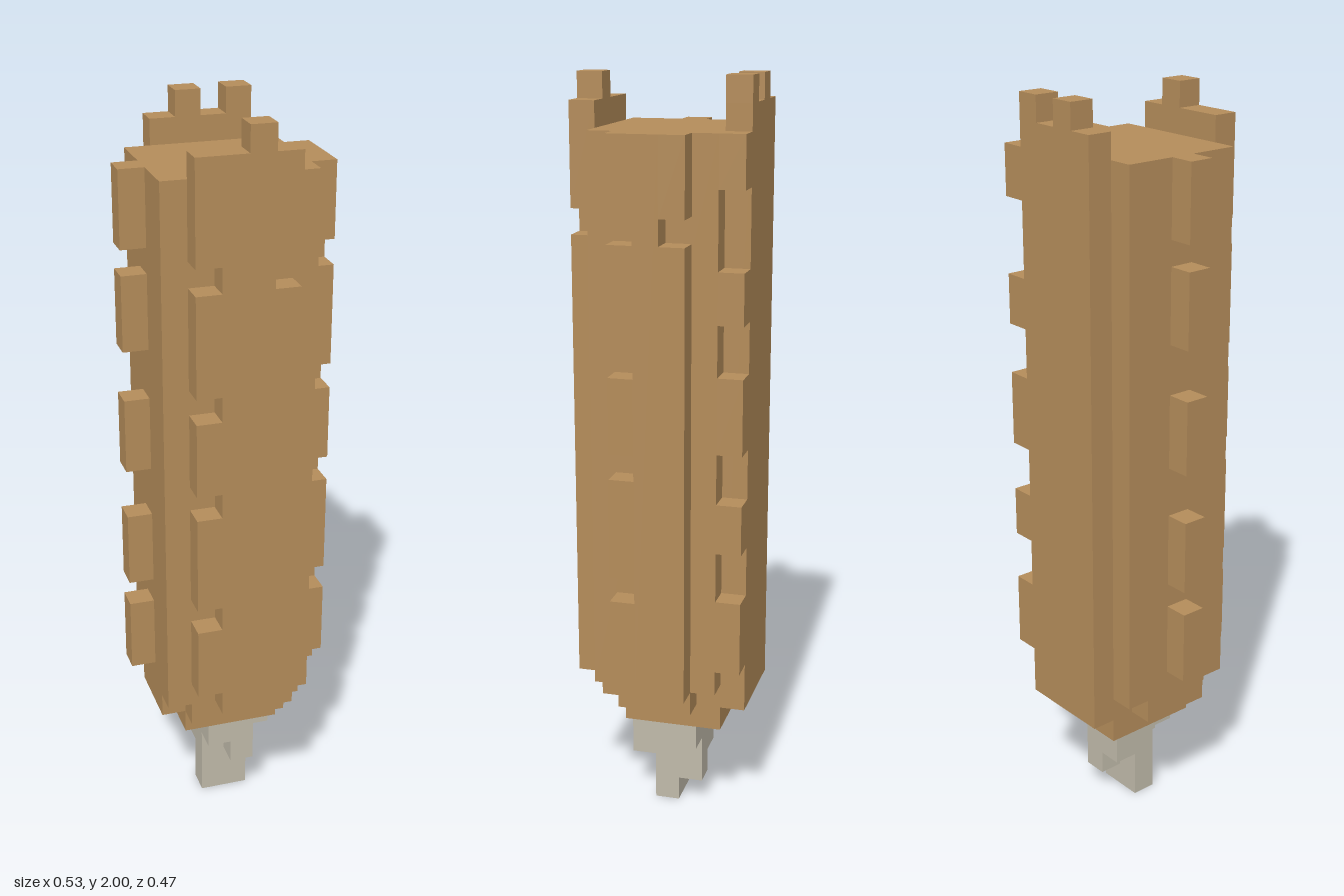
import * as THREE from 'three';

const U = 1 / 15; // one block of the grid

export function createModel() {
  const model = new THREE.Group();
  const brown = new THREE.MeshStandardMaterial({ color: 0xb48c5a });
  brown.name = 'brown';
  const grey = new THREE.MeshStandardMaterial({ color: 0xc0baaa });
  grey.name = 'pale grey';

  // Named group of blocks, each given as [x0, x1, y0, y1, z0, z1] in grid units
  function part(name, material, blocks) {
    const group = new THREE.Group();
    group.name = name;
    blocks.forEach(([x0, x1, y0, y1, z0, z1], i) => {
      const geo = new THREE.BoxGeometry((x1 - x0) * U, (y1 - y0) * U, (z1 - z0) * U);
      const mesh = new THREE.Mesh(geo, material);
      mesh.name = `${name}Block${i + 1}`;
      mesh.position.set((x0 + x1) * U / 2, (y0 + y1) * U / 2, (z0 + z1) * U / 2);
      group.add(mesh);
    });
    model.add(group);
  }

  // Edge segments shared by the front and side panels
  const notched = (top) => [[7, 10], [11, 15], [16, 19], [20, 24], [25, top]];
  const plain = (top) => [[6, 24], [25, top]];

  part('core', brown, [[-3, 3, 6, 28, -2.5, 2.5]]);

  // Stepped underside
  part('lowerSteps', brown, [
    [-3, 3, 5, 6, -1.5, 1.5],
    [-2, 2, 5, 6, -3.5, 2.5],
    [-2, 2, 4, 5, -2.5, 1.5],
  ]);

  // Front panel with notched edges and a raised tooth
  part('frontPanel', brown, [
    [-1, 1, 6, 29, 2.5, 3.5],
    [0, 1, 29, 30, 2.5, 3.5],
    ...notched(29).map(([a, b]) => [-2, -1, a, b, 2.5, 3.5]),
    ...plain(29).map(([a, b]) => [1, 2, a, b, 2.5, 3.5]),
  ]);

  // Left panel
  part('leftPanel', brown, [
    [3, 4, 6, 28, -0.5, 0.5],
    ...notched(28).map(([a, b]) => [3, 4, a, b, 0.5, 1.5]),
    ...plain(28).map(([a, b]) => [3, 4, a, b, -1.5, -0.5]),
  ]);

  // Back panel with teeth and a broken corner edge
  part('backPanel', brown, [
    [-2, 2, 6, 29, -3.5, -2.5],
    [-1, 0, 29, 30, -3.5, -2.5],
    [1, 2, 29, 30, -3.5, -2.5],
    ...[[7, 10], [12, 14], [16, 19], [21, 23], [26, 28]].map(([a, b]) => [2, 3, a, b, -3.5, -2.5]),
  ]);

  // Row of bumps down the right side
  part('rightBumps', brown,
    [[7, 10], [11, 14], [16, 19], [21, 24], [25, 28]].map(([a, b]) => [-4, -3, a, b, -0.5, 0.5]));

  // Jagged stem
  part('stem', grey, [
    [-1, 1, 0, 4, -0.5, 0.5],
    [-1, 0, 3, 4, 0.5, 1.5],
    [0, 1, 2, 4, 0.5, 1.5],
    [0, 1, 1, 4, -1.5, -0.5],
    [-1, 0, 2, 4, -1.5, -0.5],
    [1, 2, 3, 4, -1.5, 0.5],
  ]);

  return model;
}
